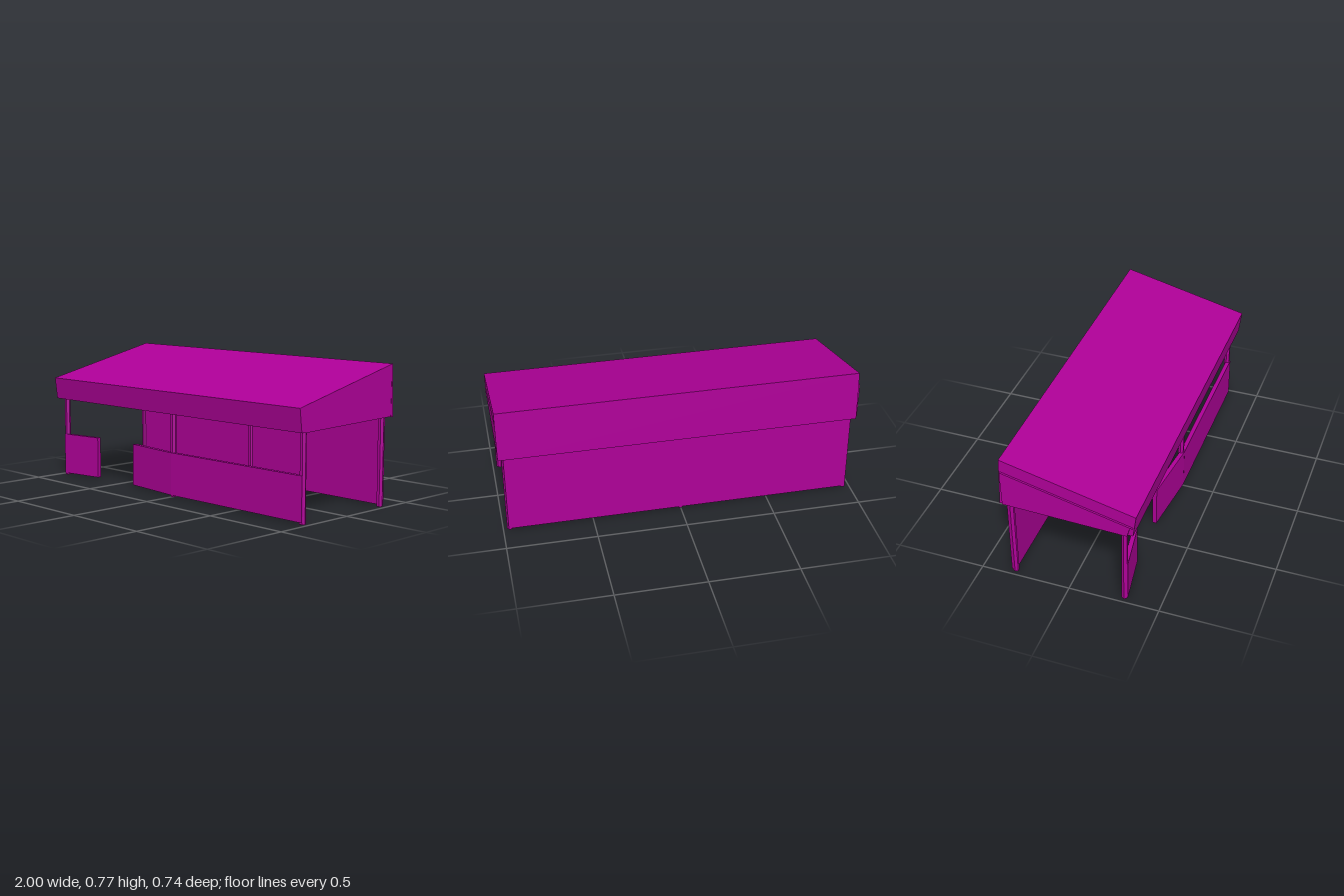
import * as THREE from 'three';

export function createModel() {
  const group = new THREE.Group();
  group.name = 'shelter';
  const paint = new THREE.MeshStandardMaterial({ color: 0xaf0098, flatShading: true });

  function add(name, geometry) {
    const mesh = new THREE.Mesh(geometry, paint);
    mesh.name = name;
    group.add(mesh);
    return mesh;
  }

  // Extrudes a (z, y) outline along x between two limits
  function slab(name, outline, x0, x1) {
    const shape = new THREE.Shape(outline.map(([z, y]) => new THREE.Vector2(z, y)));
    const geometry = new THREE.ExtrudeGeometry(shape, { depth: x1 - x0, bevelEnabled: false });
    geometry.rotateY(-Math.PI / 2).translate(x1, 0, 0);
    return add(name, geometry);
  }

  // Upright panel running between two (x, z) points
  function panel(name, [ax, az], [bx, bz], y0, y1) {
    const dx = bx - ax, dz = bz - az;
    const mesh = add(name, new THREE.BoxGeometry(Math.hypot(dx, dz), y1 - y0, 0.025));
    mesh.position.set((ax + bx) / 2, (y0 + y1) / 2, (az + bz) / 2);
    mesh.rotation.y = Math.atan2(-dz, dx);
  }

  // Roof: thick sloping deck with leaning front and back fascias, hollow below
  slab('roof', [[0.355, 0.472], [0.326, 0.47], [0.34, 0.525], [-0.355, 0.69],
    [-0.352, 0.485], [-0.37, 0.483], [-0.36, 0.769], [0.37, 0.597]], -0.99, 1);

  // Side skirts closing the ends of the hollow
  const skirt = [[0.326, 0.47], [-0.352, 0.487], [-0.356, 0.695], [0.355, 0.527], [0.34, 0.525]];
  slab('rightSkirt', skirt, -1, -0.985);
  slab('leftSkirt', skirt, 0.985, 0.999);

  // Six hexagonal posts reaching up to the deck
  for (const [name, z, height] of [['frontPost', 0.3, 0.536], ['backPost', -0.32, 0.683]]) {
    for (const x of [-0.961, 0, 0.961]) {
      const post = add(name, new THREE.CylinderGeometry(0.0173, 0.0173, height, 6));
      post.rotation.y = Math.PI / 6;
      post.position.set(x, height / 2, z);
    }
  }

  // Full back wall and low front panels, turned inwards at the entrance
  panel('backWall', [-0.97, -0.3275], [0.97, -0.3275], 0.01, 0.683);
  panel('frontPanel', [0, 0.3075], [0.972, 0.3075], 0.01, 0.25);
  panel('entrancePanel', [-0.374, 0.266], [0, 0.3075], 0.01, 0.25);
  panel('shortPanel', [-0.97, 0.3075], [-0.702, 0.266], 0.01, 0.25);

  return group;
}
